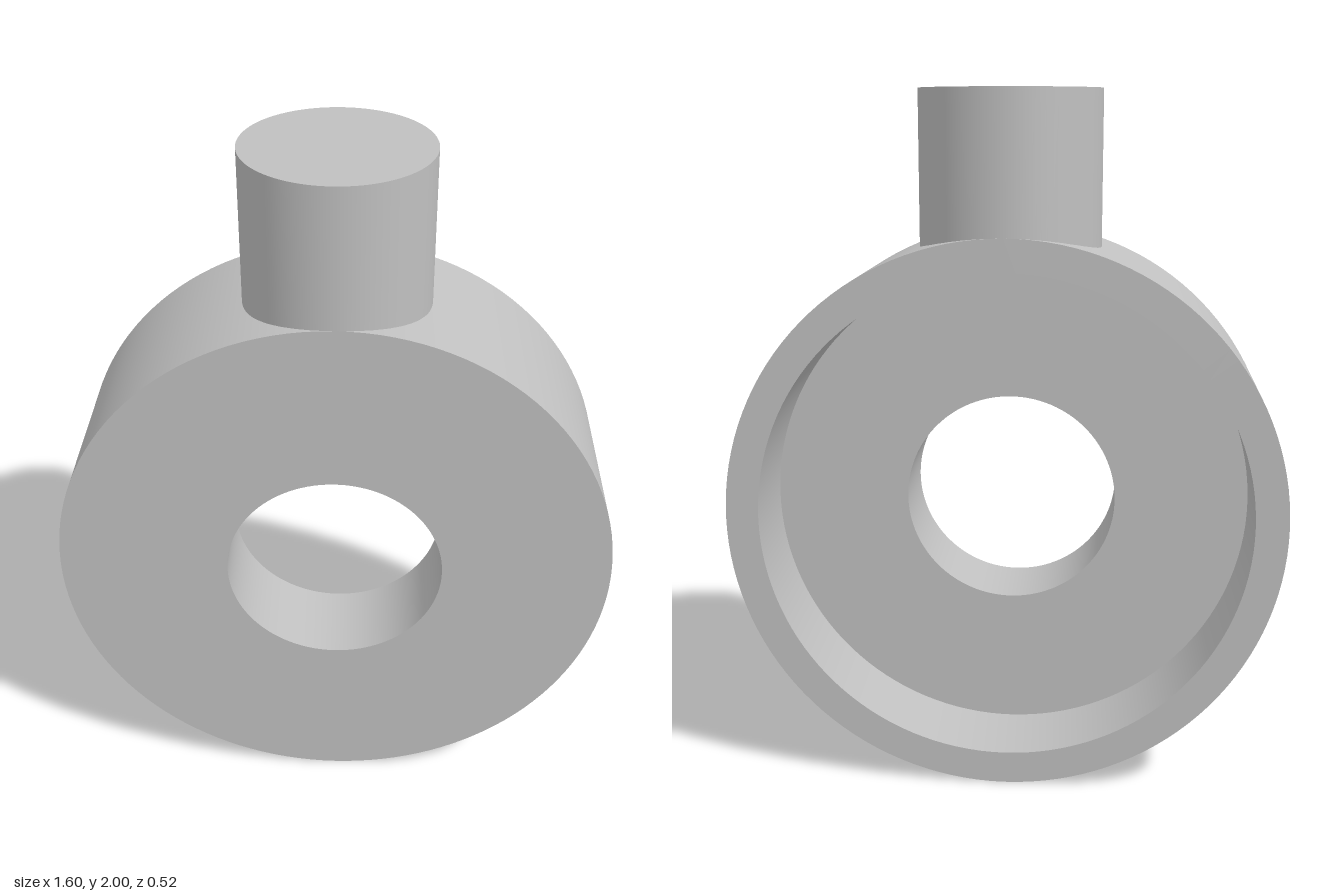
import * as THREE from 'three';
import { toCreasedNormals } from 'three/addons/utils/BufferGeometryUtils.js';

const RADIUS = 0.8, HALF_DEPTH = 0.262, CENTRE_Y = 0.802;
const BORE = 0.312, RECESS = 0.706, STEM = 0.262, TOP = 2;

export function createModel() {
  const group = new THREE.Group();
  const grey = new THREE.MeshStandardMaterial({ color: 0xc0c0c0 });
  grey.name = 'plain grey';

  // Ring body: bored through, with a wide recess in the back half
  const profile = [
    [RADIUS, -HALF_DEPTH], [RADIUS, HALF_DEPTH], [BORE, HALF_DEPTH],
    [BORE, 0], [RECESS, 0], [RECESS, -HALF_DEPTH], [RADIUS, -HALF_DEPTH],
  ].map(([r, h]) => new THREE.Vector2(r, h));
  const ringGeometry = toCreasedNormals(new THREE.LatheGeometry(profile, 128), 0.6);
  ringGeometry.rotateX(Math.PI / 2);
  const ring = new THREE.Mesh(ringGeometry, grey);
  ring.name = 'ringBody';
  ring.position.y = CENTRE_Y;
  group.add(ring);

  // Stem: round post whose open lower edge follows the curve of the ring
  const stemGeometry = new THREE.CylinderGeometry(STEM, STEM, 1, 96, 1, true);
  const p = stemGeometry.attributes.position;
  for (let i = 0; i < p.count; i++) {
    const saddle = CENTRE_Y + Math.sqrt(RADIUS ** 2 - p.getX(i) ** 2) - 0.004;
    p.setY(i, p.getY(i) > 0 ? TOP : saddle);
  }
  const stem = new THREE.Mesh(stemGeometry, grey);
  stem.name = 'stem';
  group.add(stem);

  // Flat end of the stem
  const cap = new THREE.Mesh(new THREE.CircleGeometry(STEM, 96).rotateX(-Math.PI / 2), grey);
  cap.name = 'stemCap';
  cap.position.y = TOP;
  group.add(cap);

  return group;
}
